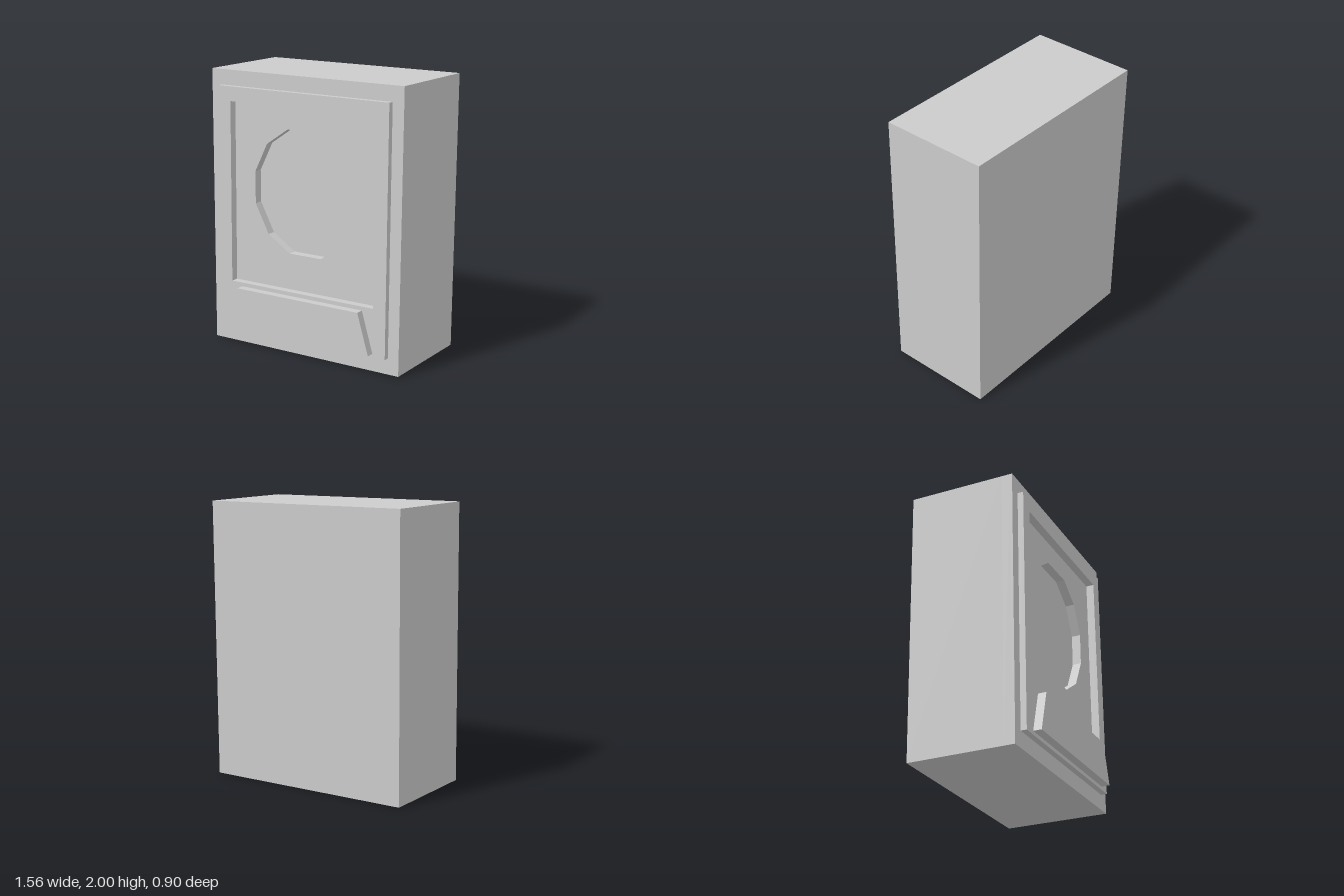
import * as THREE from 'three';

const material = new THREE.MeshStandardMaterial({ color: 0xcccccc, flatShading: true });

const toPoints = (list) => list.map(([x, y]) => new THREE.Vector2(x, y));

// Symmetric four-sided outline, given its half widths at bottom and top
const quad = (bottomHalf, topHalf, y0, y1) =>
  toPoints([[-bottomHalf, y0], [bottomHalf, y0], [topHalf, y1], [-topHalf, y1]]);

// Flat slab between two depths, with an optional hole
function slab(name, outline, z0, z1, hole) {
  const shape = new THREE.Shape(outline);
  if (hole) shape.holes.push(new THREE.Path(hole));
  const geometry = new THREE.ExtrudeGeometry(shape, { depth: z1 - z0, bevelEnabled: false });
  geometry.translate(0, 0, z0);
  const mesh = new THREE.Mesh(geometry, material);
  mesh.name = name;
  return mesh;
}

export function createModel() {
  const model = new THREE.Group();
  model.name = 'speakerCabinet';

  const cabinet = quad(0.773, 0.779, 0.005, 1.996);
  const opening = quad(0.593, 0.591, 0.47, 1.782);

  // Twelve-sided speaker recess, right half mirrored to the left
  const half = [[0.13, 0.732], [0.31, 0.848], [0.42, 1.058], [0.422, 1.29], [0.32, 1.497], [0.145, 1.617]];
  const recess = toPoints([...half, ...half.map(([x, y]) => [-x, y]).reverse()]);

  model.add(
    // Cabinet, stepped inwards behind the front panel
    slab('cabinetBody', cabinet, -0.425, 0.27),
    slab('speakerBaffle', cabinet, 0.27, 0.335, recess),
    slab('cabinetFront', cabinet, 0.335, 0.35, opening),
    // Raised panel framing the opening
    slab('frontPanel', quad(0.69, 0.692, 0.122, 1.886), 0.35, 0.393, opening),
    // Trapezoid block below the opening
    slab('lowerBlock', quad(0.592, 0.504, 0.148, 0.442), 0.393, 0.453)
  );

  // The whole cabinet leans back very slightly
  model.rotation.x = -0.0115;
  const root = new THREE.Group();
  root.add(model);
  return root;
}
